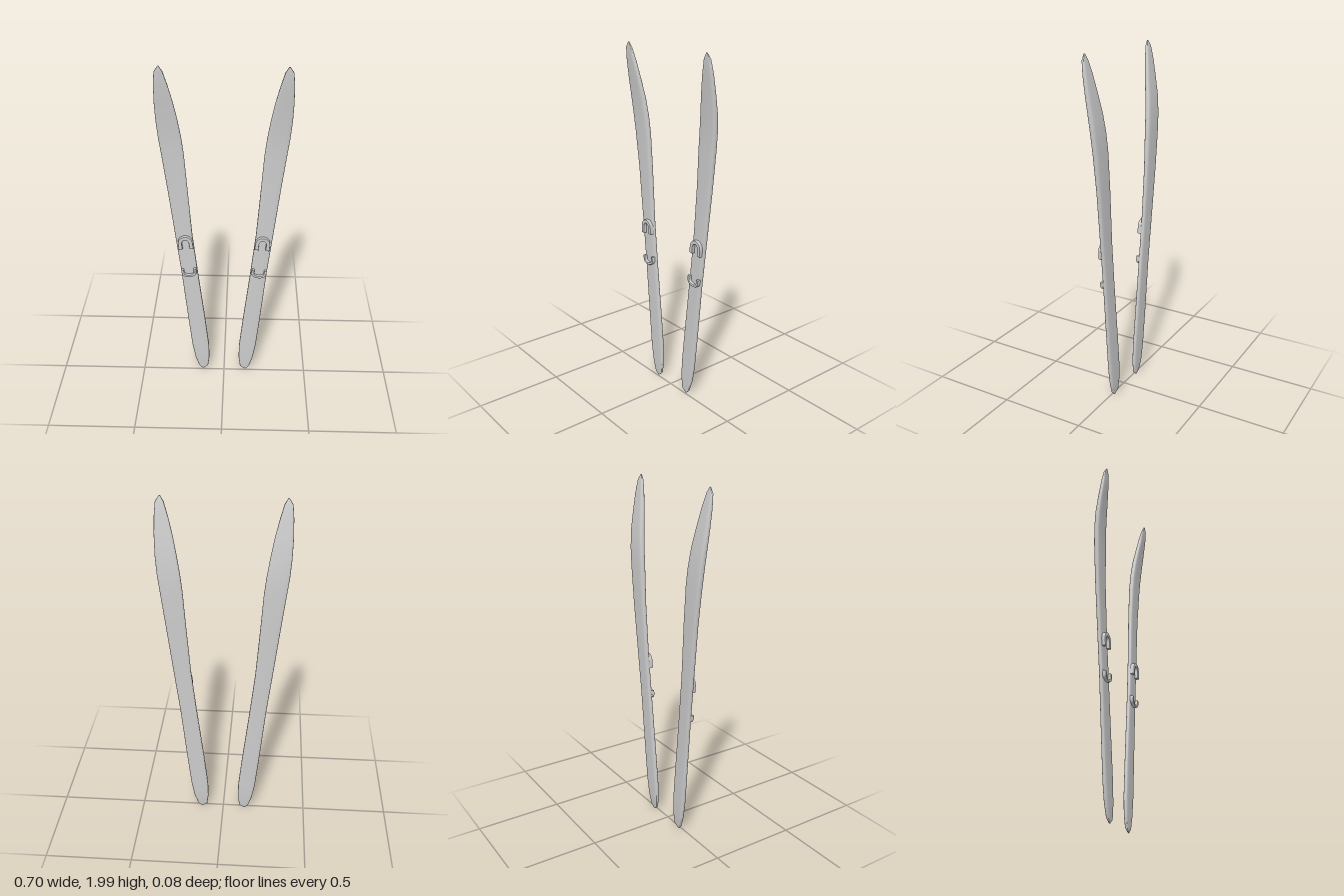
import * as THREE from 'three';

// Ski stations from tail to tip: y, inner x, outer x, back z, front z
const STATIONS = [
  [0.008, 0.125, 0.137, -0.014, -0.009],
  [0.03, 0.1, 0.156, -0.022, -0.004],
  [0.1, 0.091, 0.178, -0.027, -0.003],
  [0.2, 0.093, 0.195, -0.029, -0.003],
  [0.4, 0.113, 0.215, -0.03, -0.005],
  [0.75, 0.152, 0.247, -0.032, -0.007],
  [1.0, 0.178, 0.275, -0.035, -0.009],
  [1.3, 0.199, 0.308, -0.039, -0.01],
  [1.5, 0.212, 0.331, -0.038, -0.005],
  [1.6, 0.223, 0.343, -0.034, -0.001],
  [1.7, 0.238, 0.35, -0.025, 0.008],
  [1.8, 0.256, 0.352, -0.008, 0.02],
  [1.9, 0.279, 0.349, 0.008, 0.033],
  [1.97, 0.298, 0.342, 0.023, 0.039],
  [2.0, 0.315, 0.322, 0.032, 0.037],
];
const RING = 24;
const LEAN = 0.095; // sideways lean of each ski, in radians

const soften = (v) => Math.sign(v) * Math.sqrt(Math.abs(v));

// Lofts rounded-rectangle sections along the ski and closes both ends
function skiGeometry(side) {
  const pos = [], index = [];
  for (const [y, a, b, z0, z1] of STATIONS) {
    for (let j = 0; j < RING; j++) {
      const t = (j / RING) * Math.PI * 2;
      pos.push(side * (a + b) / 2 + soften(Math.cos(t)) * (b - a) / 2, y,
        (z0 + z1) / 2 + soften(Math.sin(t)) * (z1 - z0) / 2);
    }
  }
  const last = STATIONS.length - 1;
  for (let i = 0; i < last; i++) {
    for (let j = 0; j < RING; j++) {
      const p = i * RING + j, q = i * RING + (j + 1) % RING;
      index.push(p, p + RING, q, q, p + RING, q + RING);
    }
  }
  for (let j = 1; j < RING - 1; j++) {
    index.push(0, j, j + 1);
    index.push(last * RING, last * RING + j + 1, last * RING + j);
  }
  const geo = new THREE.BufferGeometry();
  geo.setAttribute('position', new THREE.Float32BufferAttribute(pos, 3));
  geo.setIndex(index);
  geo.computeVertexNormals();
  return geo;
}

// Flat U-shaped strap, arch at the top; legs drop from y = 0
function strapGeometry(halfWidth, arch, leg, band) {
  const w = halfWidth, i = halfWidth - band;
  const shape = new THREE.Shape();
  shape.moveTo(w, -leg);
  shape.lineTo(w, 0);
  shape.bezierCurveTo(w, arch * 1.3, -w, arch * 1.3, -w, 0);
  shape.lineTo(-w, -leg);
  shape.lineTo(-i, -leg);
  shape.lineTo(-i, 0);
  shape.bezierCurveTo(-i, (arch - band) * 1.3, i, (arch - band) * 1.3, i, 0);
  shape.lineTo(i, -leg);
  shape.closePath();
  return new THREE.ExtrudeGeometry(shape, {
    depth: 0.022, curveSegments: 16,
    bevelEnabled: true, bevelThickness: 0.004, bevelSize: 0.004, bevelOffset: -0.004, bevelSegments: 2,
  });
}

export function createModel() {
  const model = new THREE.Group();
  model.name = 'skis';
  const material = new THREE.MeshStandardMaterial({ color: 0xcccccc });

  for (const side of [1, -1]) {
    const ski = new THREE.Group();
    ski.name = side > 0 ? 'leftSki' : 'rightSki';
    const add = (name, geometry) => {
      const mesh = new THREE.Mesh(geometry, material);
      mesh.name = name;
      ski.add(mesh);
      return mesh;
    };
    add('skiBoard', skiGeometry(side));

    // Toe binding arches up, heel binding arches down
    const toe = add('toeBinding', strapGeometry(0.042, 0.048, 0.036, 0.022));
    toe.position.set(side * 0.217, 0.952, -0.016);
    toe.rotation.z = -side * LEAN;

    const heel = add('heelBinding', strapGeometry(0.043, 0.032, 0.022, 0.015));
    heel.position.set(side * 0.201, 0.755, -0.016);
    heel.rotation.z = Math.PI - side * LEAN;

    model.add(ski);
  }
  return model;
}
